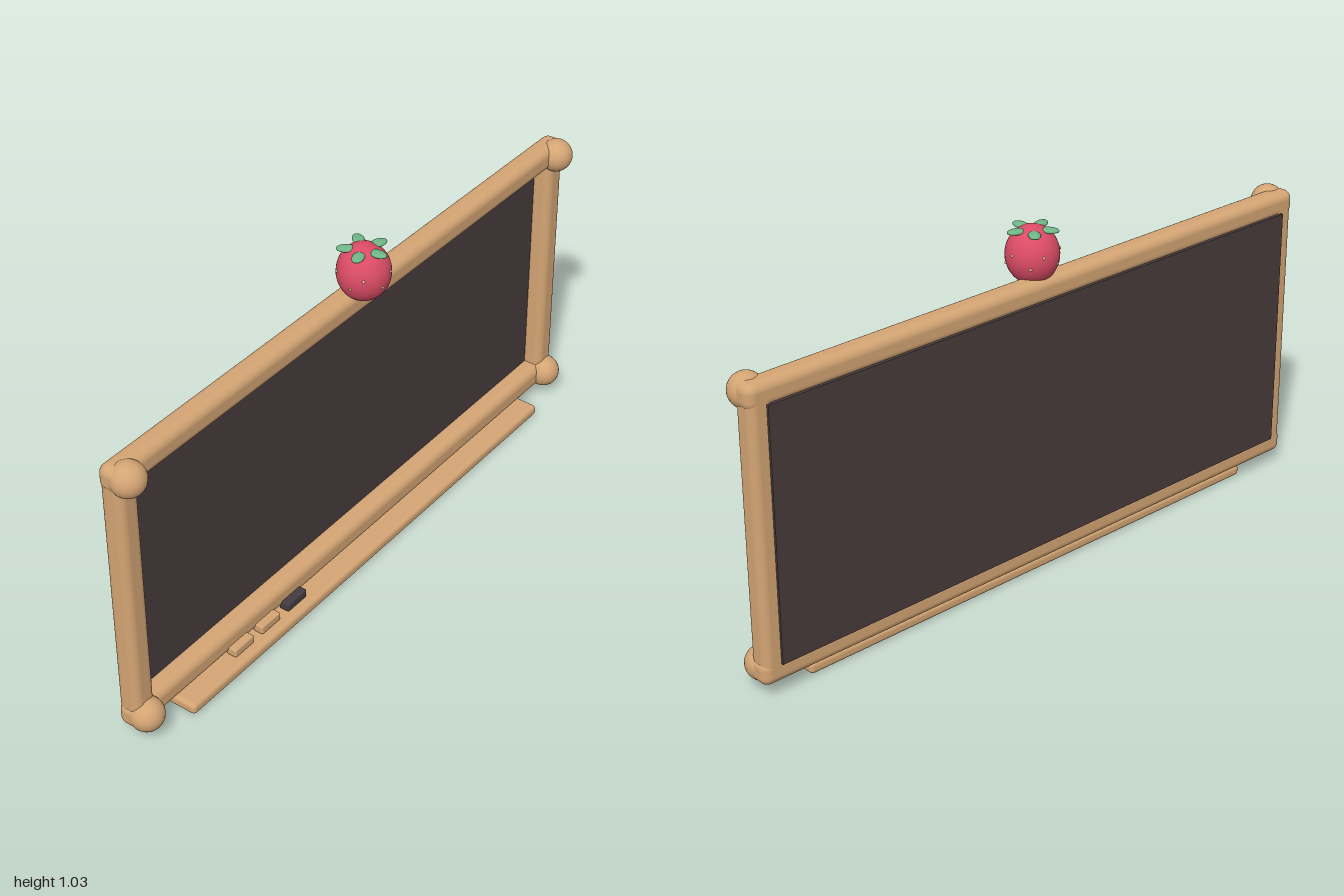
import * as THREE from 'three';
import { RoundedBoxGeometry } from 'three/addons/geometries/RoundedBoxGeometry.js';

function material(name, color) {
  const m = new THREE.MeshStandardMaterial({ color });
  m.name = name;
  return m;
}

export function createModel() {
  const model = new THREE.Group();
  model.name = 'blackboard';

  const wood = material('light wood', 0xd4a574);
  const slate = material('dark slate', 0x483c3c);
  const felt = material('eraser felt', 0x433c40);
  const red = material('berry red', 0xdb4c66);
  const green = material('leaf green', 0x6fb587);
  const cream = material('seed cream', 0xf0d08c);

  function add(parent, name, geometry, mat, x, y, z) {
    const mesh = new THREE.Mesh(geometry, mat);
    mesh.name = name;
    mesh.position.set(x, y, z);
    parent.add(mesh);
    return mesh;
  }
  const rounded = (w, h, d, r) => new RoundedBoxGeometry(w, h, d, 5, r);

  // Writing surface, slightly proud of the frame at the back
  add(model, 'board', new THREE.BoxGeometry(1.88, 0.74, 0.023), slate, 0, 0.466, -0.0605);

  // Frame rails and posts
  for (const [name, y] of [['topRail', 0.859], ['bottomRail', 0.075]]) {
    add(model, name, rounded(1.988, 0.074, 0.07, 0.026), wood, 0, y, -0.03);
  }
  for (const [name, side] of [['leftPost', 1], ['rightPost', -1]]) {
    add(model, name, rounded(0.074, 0.83, 0.07, 0.024), wood, side * 0.952, 0.467, -0.03);
    // Corner knobs
    for (const y of [0.857, 0.076]) {
      add(model, 'cornerKnob', new THREE.SphereGeometry(0.049, 32, 20), wood, side * 0.951, y, 0.001);
    }
  }

  // Tray with two chalks and an eraser
  add(model, 'tray', rounded(1.66, 0.035, 0.1, 0.013), wood, 0, 0.0175, 0.007);
  add(model, 'chalk', rounded(0.08, 0.028, 0.034, 0.006), wood, -0.58, 0.049, 0.012);
  add(model, 'chalk', rounded(0.08, 0.028, 0.034, 0.006), wood, -0.465, 0.049, 0.012);
  add(model, 'eraser', rounded(0.084, 0.028, 0.034, 0.006), felt, -0.348, 0.049, 0.012);

  // Strawberry ornament
  const berry = new THREE.Group();
  berry.name = 'strawberry';
  berry.position.set(0, 0.95, 0);
  model.add(berry);
  const radius = 0.075, halfHeight = 0.083;
  add(berry, 'fruit', new THREE.SphereGeometry(radius, 36, 24), red, 0, 0, 0)
    .scale.set(1, halfHeight / radius, 1);

  // Five flattened leaves in a star, one facing the front
  for (let i = 0; i < 5; i++) {
    const a = (i / 5) * Math.PI * 2;
    const leaf = add(berry, 'leaf', new THREE.SphereGeometry(1, 18, 12), green,
      Math.sin(a) * 0.046, 0.07, Math.cos(a) * 0.046);
    leaf.scale.set(0.017, 0.008, 0.028);
    leaf.rotation.y = a;
  }

  // Seeds in staggered rings
  for (const [y, offset] of [[0.013, 0.25], [-0.018, 0.85]]) {
    const r = radius * Math.sqrt(1 - (y / halfHeight) ** 2);
    for (let i = 0; i < 5; i++) {
      const a = offset * Math.PI * 2 / 5 + i * Math.PI * 2 / 5;
      add(berry, 'seed', new THREE.SphereGeometry(0.004, 10, 8), cream,
        Math.sin(a) * r, y, Math.cos(a) * r);
    }
  }
  return model;
}
